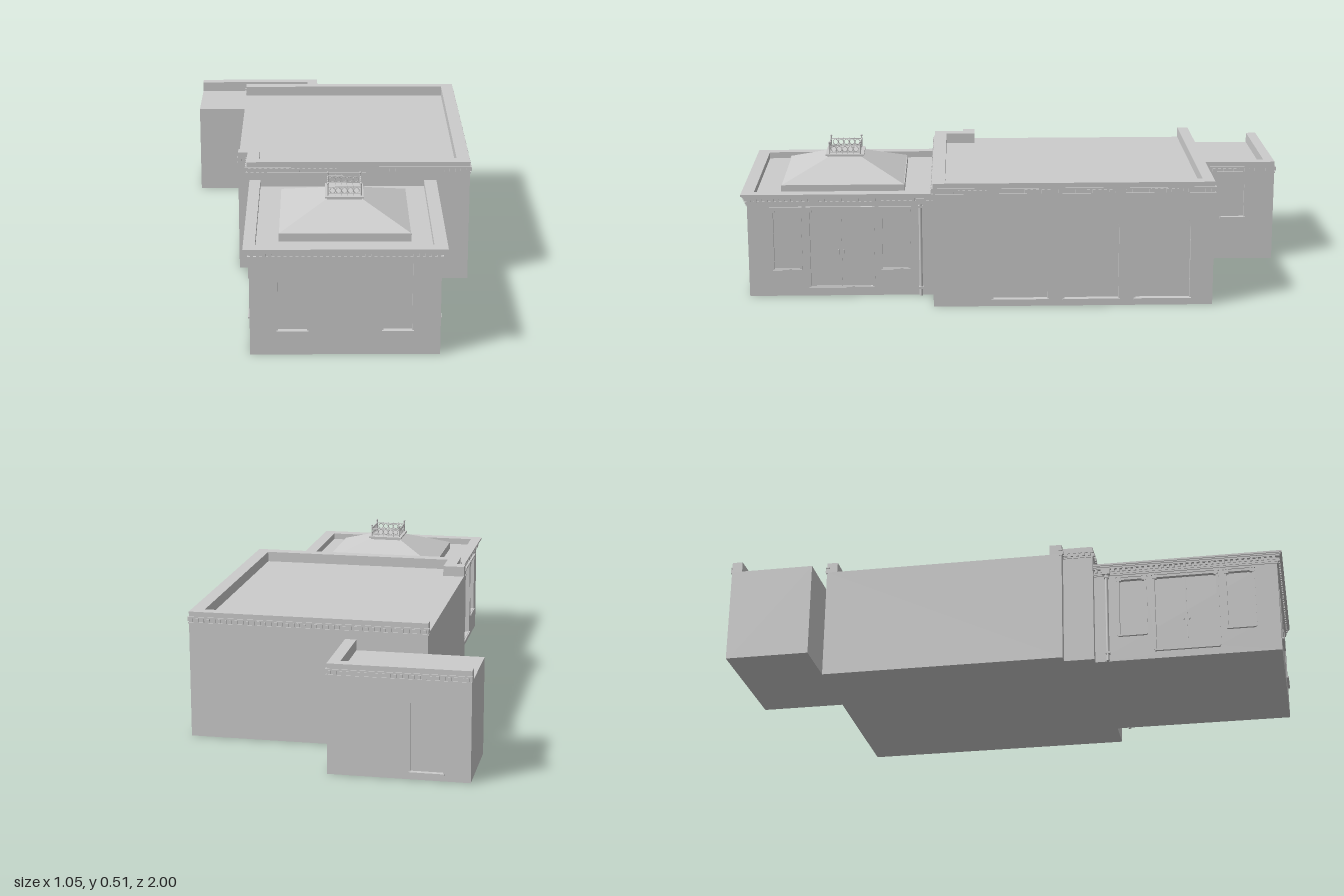
import * as THREE from 'three';
import { mergeGeometries } from 'three/addons/utils/BufferGeometryUtils.js';

const stone = new THREE.MeshStandardMaterial({ color: 0xcccccc });
stone.name = 'stone';

function add(parent, name, geometry) {
  const mesh = new THREE.Mesh(geometry, stone);
  mesh.name = name;
  parent.add(mesh);
  return mesh;
}

// Box given by its minimum and maximum corners
function box(x0, x1, y0, y1, z0, z1) {
  return new THREE.BoxGeometry(x1 - x0, y1 - y0, z1 - z0)
    .translate((x0 + x1) / 2, (y0 + y1) / 2, (z0 + z1) / 2);
}

// Upright prism over a plan outline of [x, z] points
function prism(points, y0, y1) {
  const shape = new THREE.Shape(points.map(([x, z]) => new THREE.Vector2(x, -z)));
  return new THREE.ExtrudeGeometry(shape, { depth: y1 - y0, bevelEnabled: false })
    .rotateX(-Math.PI / 2).translate(0, y0, 0);
}

function outline(Type, x0, x1, y0, y1, arched = false) {
  const s = new Type(), r = (x1 - x0) / 2;
  s.moveTo(x0, y0);
  s.lineTo(x1, y0);
  if (arched) {
    s.lineTo(x1, y1 - r);
    s.absarc((x0 + x1) / 2, y1 - r, r, 0, Math.PI, false);
  } else {
    s.lineTo(x1, y1);
    s.lineTo(x0, y1);
  }
  s.closePath();
  return s;
}

// Outer wall skin with openings, in front of the solid core; z = 0 is its face
function wallSkin(width, height, depth, openings) {
  const s = outline(THREE.Shape, -width / 2, width / 2, 0, height);
  s.holes = openings.map(o => outline(THREE.Path, ...o));
  return new THREE.ExtrudeGeometry(s, { depth, bevelEnabled: false, curveSegments: 20 })
    .translate(0, 0, -depth);
}

// Thin raised surround around an opening
function surround([x0, x1, y0, y1, arched], w, depth) {
  const s = outline(THREE.Shape, x0 - w, x1 + w, y0, y1 + w, arched);
  s.holes = [outline(THREE.Path, x0, x1, y0 + 0.002, y1, arched)];
  return new THREE.ExtrudeGeometry(s, { depth, bevelEnabled: false, curveSegments: 20 });
}

const sill = ([x0, x1, y0], out = 0.008) => box(x0 - 0.006, x1 + 0.006, y0 - 0.006, y0, -0.01, out);

// Group whose local z points out of a wall
function face(parent, name, x, z, angle) {
  const g = new THREE.Group();
  g.name = name;
  g.position.set(x, 0, z);
  g.rotation.y = angle;
  parent.add(g);
  return g;
}

// Bands [y0, y1, projection] and a row of dentils along a plan path
function cornice(path, bands, dentil) {
  const parts = [];
  for (let i = 0; i < path.length - 1; i++) {
    const [ax, az] = path[i], [bx, bz] = path[i + 1];
    const len = Math.hypot(bx - ax, bz - az);
    const list = bands.map(([y0, y1, p]) => box(-len / 2 - p, len / 2 + p, y0, y1, -0.01, p));
    const n = Math.max(1, Math.round(len / 0.02));
    for (let k = 0; k < n; k++) {
      const c = -len / 2 + (k + 0.5) * len / n;
      list.push(box(c - 0.005, c + 0.005, dentil[0], dentil[1], -0.005, dentil[2]));
    }
    const angle = Math.atan2(bz - az, -(bx - ax));
    for (const g of list) parts.push(g.rotateY(angle).translate((ax + bx) / 2, 0, (az + bz) / 2));
  }
  return mergeGeometries(parts);
}

function buildHall(root) {
  const hall = new THREE.Group();
  hall.name = 'mainHall';
  root.add(hall);
  add(hall, 'hallCore', prism([[-0.33, -0.69], [0.502, -0.69], [0.502, 0.31],
    [-0.295, 0.31], [-0.295, 0.2], [-0.33, 0.2]], 0, 0.417));
  add(hall, 'hallParapet', prism([[-0.33, -0.69], [0.517, -0.69], [0.517, 0.31], [-0.295, 0.31],
    [-0.295, 0.2], [-0.33, 0.2], [-0.33, 0.155], [-0.25, 0.155], [-0.25, 0.265],
    [0.47, 0.265], [0.47, -0.65], [-0.33, -0.65]], 0.417, 0.455));
  add(hall, 'hallCornice', cornice([[-0.33, -0.69], [0.517, -0.69], [0.517, 0.31],
    [-0.295, 0.31], [-0.295, 0.2], [-0.33, 0.2]],
  [[0.432, 0.437, 0.004], [0.412, 0.417, 0.003]], [0.419, 0.432, 0.007]));
  // Three arched bays on the side wall
  const side = face(hall, 'archedWall', 0.517, -0.19, Math.PI / 2);
  const arches = [-0.19, 0.065, 0.32].map(c => [c - 0.097, c + 0.097, 0.027, 0.375, true]);
  add(side, 'archedWallSkin', wallSkin(1, 0.417, 0.015, arches));
  for (const a of arches) add(side, 'archSill', sill(a));
}

function buildAnnex(root) {
  const annex = new THREE.Group();
  annex.name = 'rearAnnex';
  root.add(annex);
  add(annex, 'annexCore', box(-0.525, -0.05, 0, 0.347, -0.983, -0.69));
  add(annex, 'annexParapet', prism([[-0.525, -0.993], [-0.04, -0.993], [-0.04, -0.69],
    [-0.08, -0.69], [-0.08, -0.955], [-0.525, -0.955]], 0.347, 0.385));
  add(annex, 'annexCornice', cornice([[-0.522, -0.993], [-0.04, -0.993], [-0.04, -0.69]],
    [[0.362, 0.367, 0.004], [0.342, 0.347, 0.003]], [0.349, 0.362, 0.007]));
  const back = face(annex, 'annexBackWall', -0.2825, -0.993, Math.PI);
  const door = [0.04, 0.15, 0.027, 0.265];
  add(back, 'backWallSkin', wallSkin(0.485, 0.347, 0.01, [door]));
  add(back, 'backDoorSill', sill(door, 0.007));
  const side = face(annex, 'annexSideWall', -0.04, -0.8365, Math.PI / 2);
  const win = [-0.043, 0.043, 0.168, 0.295];
  add(side, 'sideWallSkin', wallSkin(0.293, 0.347, 0.01, [win]));
  add(side, 'sideWindowSill', sill(win));
}

function buildPavilion(root) {
  const pav = new THREE.Group();
  pav.name = 'frontPavilion';
  root.add(pav);
  const cx = 0.055, hw = 0.32, d = 0.012;
  add(pav, 'pavilionCore', box(cx - hw + d, cx + hw - d, 0, 0.362, 0.3, 0.98 - d));

  // Front wall with two tall windows
  const front = face(pav, 'pavilionFront', cx, 0.98, 0);
  const windows = [-1, 1].map(s => [s * 0.177 - 0.048, s * 0.177 + 0.048, 0.088, 0.33]);
  add(front, 'frontSkin', wallSkin(hw * 2, 0.362, d, windows));
  for (const w of windows) add(front, 'frontSill', sill(w));

  // Side walls: wide door between two windows
  for (const s of [-1, 1]) {
    const side = face(pav, s > 0 ? 'leftWall' : 'rightWall', cx + s * hw, 0.645, s * Math.PI / 2);
    const openings = [[-0.243, -0.15, 0.1, 0.322], [0.15, 0.243, 0.1, 0.322], [-0.112, 0.112, 0.033, 0.322]];
    add(side, 'sideSkin', wallSkin(0.67, 0.362, d, openings));
    for (const o of openings) {
      add(side, 'surround', surround(o, 0.009, 0.004));
      add(side, 'sideSill', sill(o, 0.009));
      add(side, 'lintel', box(o[0] - 0.012, o[1] + 0.012, 0.331, 0.336, -0.005, 0.008));
      for (const x of [o[0], o[1]])
        add(side, 'bracket', box(x - 0.008, x + 0.008, 0.316, 0.331, -0.005, 0.007));
    }
    add(side, 'doorMeetingStile', box(-0.002, 0.002, 0.033, 0.322, -d, -d + 0.003));
    for (const x of [-0.01, 0.01])
      add(side, 'doorHandle', box(x - 0.002, x + 0.002, 0.15, 0.17, -d, -0.004));
    // Downpipe with hopper head
    const px = cx + s * (hw + 0.007);
    add(pav, 'downpipe', new THREE.CylinderGeometry(0.006, 0.006, 0.345, 10).translate(px, 0.1725, 0.357));
    add(pav, 'hopper', box(px - 0.011, px + 0.011, 0.345, 0.368, 0.343, 0.371));
    for (const y of [0.03, 0.335]) add(pav, 'pipeCollar', box(px - 0.008, px + 0.008, y - 0.004, y + 0.004, 0.349, 0.365));
  }

  // Cornice and shallow parapet, open towards the hall
  add(pav, 'pavilionCornice', cornice([[cx + hw, 0.31], [cx + hw, 0.98], [cx - hw, 0.98], [cx - hw, 0.31]],
    [[0.343, 0.349, 0.004], [0.349, 0.356, 0.006], [0.368, 0.374, 0.012], [0.374, 0.379, 0.016]],
    [0.356, 0.368, 0.011]));
  const rim = (o, z) => [[cx + hw + o, 0.31], [cx + hw + o, z], [cx - hw - o, z], [cx - hw - o, 0.31],
    [-0.245, 0.31], [-0.245, 0.955], [0.35, 0.955], [0.35, 0.31]];
  add(pav, 'parapetBase', prism(rim(0, 0.98), 0.362, 0.379));
  add(pav, 'parapetTop', prism(rim(0.02, 1), 0.379, 0.386));

  // Hipped roof with curb and flat top
  const z = 0.64, hip = new THREE.CylinderGeometry(0.06 * Math.SQRT2, 0.222 * Math.SQRT2, 0.065, 4, 1)
    .rotateY(Math.PI / 4).toNonIndexed();
  hip.computeVertexNormals();
  add(pav, 'roofCurb', box(cx - 0.224, cx + 0.224, 0.362, 0.391, z - 0.225, z + 0.225));
  add(pav, 'hippedRoof', hip.translate(cx, 0.4235, z));
  add(pav, 'roofPlatform', box(cx - 0.06, cx + 0.06, 0.454, 0.46, z - 0.065, z + 0.065));
  add(pav, 'platformCap', box(cx - 0.066, cx + 0.066, 0.46, 0.466, z - 0.071, z + 0.071));

  // Roof railing: rails, rings and finialled posts on four sides
  const rail = new THREE.Group();
  rail.name = 'roofRailing';
  rail.position.set(cx, 0.466, z);
  pav.add(rail);
  const r = 0.057;
  for (let i = 0; i < 4; i++) {
    const side = new THREE.Group();
    side.name = 'railingSide';
    side.rotation.y = i * Math.PI / 2;
    rail.add(side);
    for (const y of [0.007, 0.031]) add(side, 'rail', box(-r, r, y - 0.0015, y + 0.0015, r - 0.0015, r + 0.0015));
    for (let k = -2; k <= 2; k++)
      add(side, 'ring', new THREE.TorusGeometry(0.0095, 0.0014, 6, 14).translate(k * 0.0205, 0.019, r));
    for (let k = -2; k <= 1; k++)
      add(side, 'baluster', box(k * 0.0205 + 0.0095, k * 0.0205 + 0.011, 0, 0.036, r - 0.001, r + 0.001));
    add(side, 'post', new THREE.CylinderGeometry(0.0025, 0.0025, 0.044, 8).translate(r, 0.022, r));
    add(side, 'finial', new THREE.SphereGeometry(0.004, 8, 6).translate(r, 0.044, r));
  }
}

export function createModel() {
  const root = new THREE.Group();
  root.name = 'building';
  buildHall(root);
  buildAnnex(root);
  buildPavilion(root);
  return root;
}
